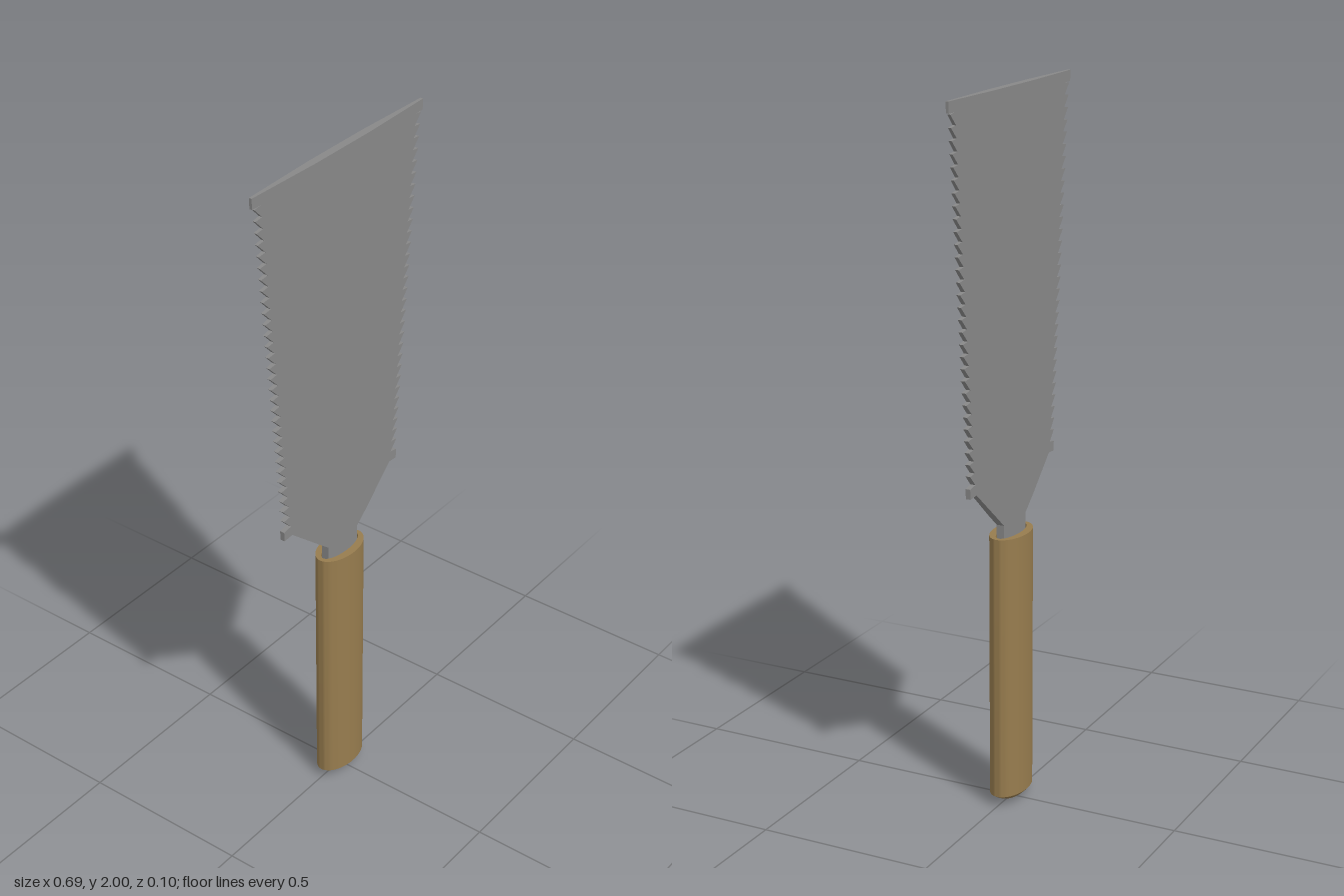
import * as THREE from 'three';
import { toCreasedNormals } from 'three/addons/utils/BufferGeometryUtils.js';

const STEEL = new THREE.MeshStandardMaterial({ name: 'steel', color: 0x888888 });
const WOOD = new THREE.MeshStandardMaterial({ name: 'wood', color: 0x977c4e });

const HALF = 0.011; // half thickness at the blade's middle
const SEAM = 0.11; // the blade is flat inside this x and thins outside it

function moveVertices(geometry, rule) {
  const p = geometry.attributes.position;
  const v = new THREE.Vector3();
  for (let i = 0; i < p.count; i++) {
    rule(v.fromBufferAttribute(p, i));
    p.setXYZ(i, v.x, v.y, v.z);
  }
  return toCreasedNormals(geometry, 0.5);
}

// Flat plate whose thickness falls off towards the toothed edges
function plate(name, points) {
  const shape = new THREE.Shape(points.map(([x, y]) => new THREE.Vector2(x, y)));
  const geometry = new THREE.ExtrudeGeometry(shape, { depth: HALF * 2, bevelEnabled: false });
  geometry.translate(0, 0, -HALF);
  moveVertices(geometry, v => {
    const t = Math.max(0, Math.abs(v.x) - SEAM) / (0.346 - SEAM);
    v.z *= 1 - 0.64 * t;
  });
  const creased = toCreasedNormals(geometry, 0.5);
  const mesh = new THREE.Mesh(creased, STEEL);
  mesh.name = name;
  return mesh;
}

// Outline of one toothed half, for the +x side
function wingOutline() {
  const teeth = 30, y0 = 0.985, y1 = 1.97;
  const step = (y1 - y0) / teeth;
  const root = y => 0.222 + (y - y0) * 0.092;
  const points = [[SEAM, 0.863], [0.217, 0.955], [0.249, 0.952], [0.25, 0.98], [root(y0), y0]];
  for (let i = 0; i < teeth; i++) {
    const y = y0 + i * step;
    if (i > 0) points.push([root(y), y]);
    points.push([root(y) + 0.028, y + step * 0.9]);
  }
  points.push([root(y1), y1], [0.345, y1], [0.346, 2], [SEAM, 2]);
  return points;
}

// Oval grip with a domed butt and a narrow socket around the tang
function handle() {
  const rx = 0.088, rz = 0.05, socket = 0.075;
  const profile = [];
  for (let i = 0; i <= 8; i++) {
    const r = i / 8;
    profile.push([rx * r, 0.03 * Math.pow(r, 2)]);
  }
  profile.push([rx, 0.79], [socket, 0.79], [socket, 0.75], [0, 0.75]);
  const geometry = new THREE.LatheGeometry(profile.map(([x, y]) => new THREE.Vector2(x, y)), 48);
  const creased = moveVertices(geometry, v => {
    const inSocket = v.y > 0.5 && Math.hypot(v.x, v.z) < 0.08;
    v.z *= inSocket ? 0.028 / socket : rz / rx;
  });
  const mesh = new THREE.Mesh(creased, WOOD);
  mesh.name = 'handle';
  return mesh;
}

export function createModel() {
  const model = new THREE.Group();
  model.name = 'doubleEdgedSaw';

  const blade = new THREE.Group();
  blade.name = 'blade';
  // Middle strip with the neck and the tang set into the handle
  const side = [[0.065, 0.72], [0.065, 0.825], [SEAM, 0.863], [SEAM, 2]];
  blade.add(plate('bladeCentreAndTang', [...side, ...side.map(([x, y]) => [-x, y]).reverse()]));
  // Toothed halves
  for (const s of [1, -1]) {
    const outline = wingOutline().map(([x, y]) => [s * x, y]);
    blade.add(plate(s > 0 ? 'leftToothedEdge' : 'rightToothedEdge', outline));
  }

  model.add(blade, handle());
  return model;
}
